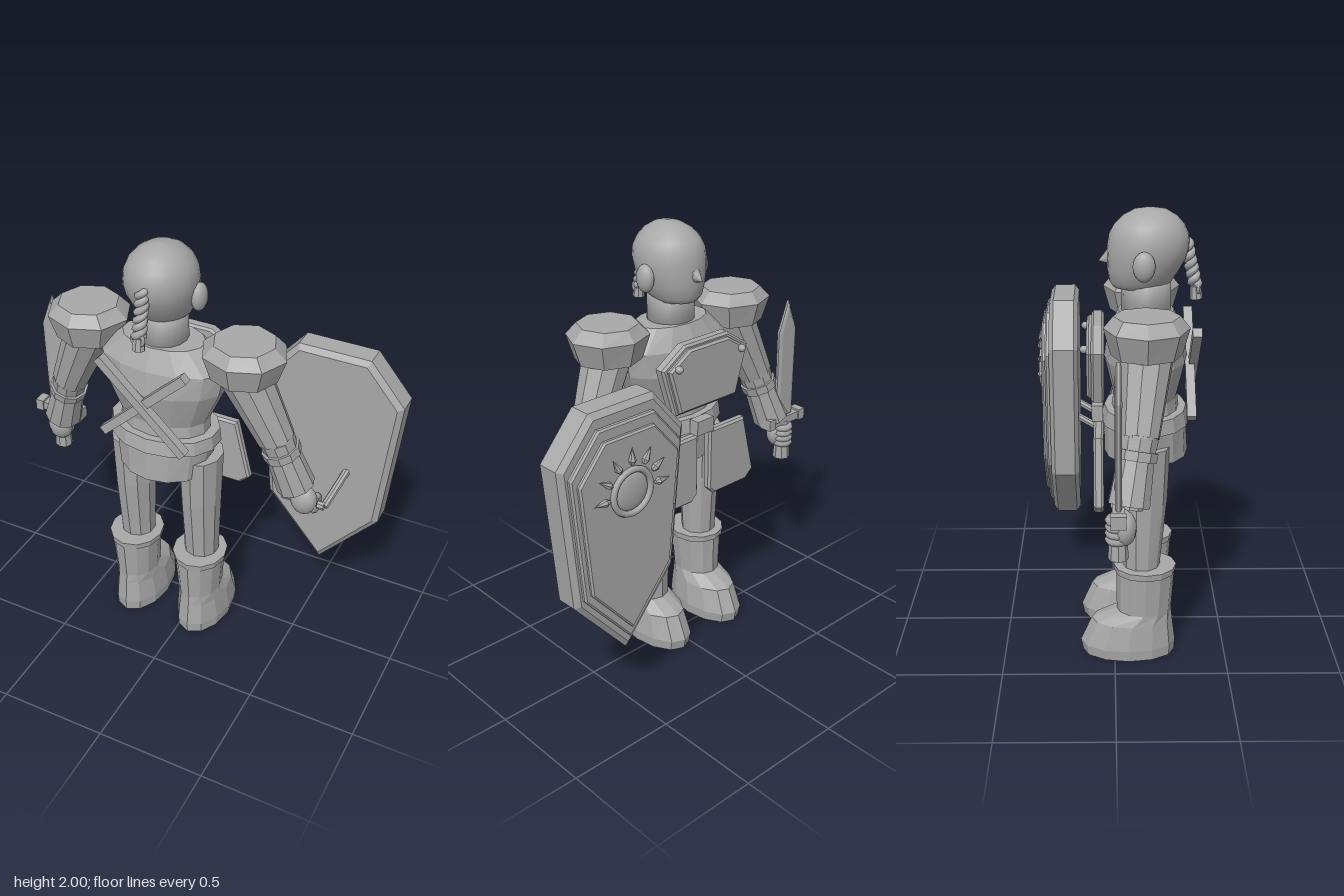
import * as THREE from 'three';
import { mergeVertices } from 'three/addons/utils/BufferGeometryUtils.js';

const CX = -0.11; // body centre line
const steel = new THREE.MeshStandardMaterial({ color: 0xa8a8a8 });
steel.name = 'grey';
const V = (x, y, z) => new THREE.Vector3(x, y, z);

export function createModel() {
  const model = new THREE.Group();
  model.name = 'knight';

  function add(name, geo, flat = true, parent = model) {
    if (flat) {
      geo = geo.index ? geo.toNonIndexed() : geo;
      geo.computeVertexNormals();
    }
    const m = new THREE.Mesh(geo, steel);
    m.name = name;
    parent.add(m);
    return m;
  }

  // Elliptical cross-sections from top to bottom: [y, cz, rx, rz]
  function loft(name, cx, rings, n, flat = true) {
    let geo = new THREE.CylinderGeometry(1, 1, 1, n, rings.length - 1);
    const p = geo.attributes.position;
    for (let i = 0; i < p.count; i++) {
      const [y, cz, rx, rz] = rings[Math.round((0.5 - p.getY(i)) * (rings.length - 1))];
      p.setXYZ(i, cx + p.getX(i) * rx, y, cz + p.getZ(i) * rz);
    }
    if (!flat) {
      geo.deleteAttribute('uv');
      geo.deleteAttribute('normal');
      geo = mergeVertices(geo);
      geo.computeVertexNormals();
    }
    return add(name, geo, flat);
  }

  // Tapered prism between two points
  function limb(name, a, b, ra, rb, n = 10, flat = true) {
    const d = b.clone().sub(a);
    const m = add(name, new THREE.CylinderGeometry(rb, ra, d.length(), n), flat);
    m.quaternion.setFromUnitVectors(V(0, 1, 0), d.normalize());
    m.position.copy(a).add(b).multiplyScalar(0.5);
    return m;
  }

  function ball(name, x, y, z, rx, ry, rz, n = 16) {
    const m = add(name, new THREE.SphereGeometry(1, n, Math.ceil(n * 0.7)), false);
    m.scale.set(rx, ry, rz);
    m.position.set(x, y, z);
    return m;
  }

  // Bevelled plate from an outline, filling z0 to z1
  function plate(name, pts, z0, z1, bevel = 0.01, inset = bevel) {
    const shape = new THREE.Shape(pts.map(([x, y]) => new THREE.Vector2(x, y)));
    const geo = new THREE.ExtrudeGeometry(shape, {
      depth: z1 - z0 - 2 * bevel, bevelEnabled: bevel > 0, bevelThickness: bevel,
      bevelSize: inset, bevelOffset: -inset, bevelSegments: 1,
    });
    geo.translate(0, 0, z0 + bevel);
    return add(name, geo);
  }
  // Mirrors a half outline (listed top to bottom) about x = cx
  const mirror = (half, cx, s = 1, cy = 0) => [
    ...half.map(([x, y]) => [cx - x * s, cy + (y - cy) * s]),
    ...half.slice().reverse().filter(([x]) => x > 0).map(([x, y]) => [cx + x * s, cy + (y - cy) * s]),
  ];

  // Head, looking towards -z
  loft('head', CX, [
    [2.0, 0.15, 0.012, 0.012], [1.99, 0.15, 0.06, 0.07], [1.965, 0.148, 0.1, 0.115],
    [1.93, 0.146, 0.132, 0.148], [1.89, 0.145, 0.15, 0.168], [1.84, 0.143, 0.156, 0.174],
    [1.79, 0.135, 0.15, 0.168], [1.74, 0.122, 0.136, 0.153], [1.69, 0.11, 0.115, 0.133],
    [1.665, 0.105, 0.09, 0.11], [1.655, 0.105, 0.01, 0.01],
  ], 24, false);
  loft('neck', CX, [[1.69, 0.135, 0.105, 0.105], [1.55, 0.135, 0.108, 0.108]], 16, false);
  for (const s of [-1, 1]) ball('ear', CX + s * 0.16, 1.78, 0.12, 0.033, 0.063, 0.047);
  const nose = limb('nose', V(CX, 1.79, -0.02), V(CX, 1.775, -0.065), 0.035, 0.003, 8, false);
  nose.scale.x = 0.8;

  // Braid: two twisted strands, a ring and a tuft
  const braidAt = t => V(CX, 1.865 - 0.2 * t, 0.3 + 0.045 * t);
  for (const phase of [0, Math.PI]) {
    const pts = [];
    for (let i = 0; i <= 40; i++) {
      const t = i / 40, a = t * Math.PI * 6 + phase;
      pts.push(braidAt(t).add(V(Math.cos(a) * 0.016, 0, Math.sin(a) * 0.016)));
    }
    add('braidStrand', new THREE.TubeGeometry(new THREE.CatmullRomCurve3(pts), 60, 0.017, 6), false);
  }
  const ring = add('braidRing', new THREE.TorusGeometry(0.026, 0.009, 6, 14), false);
  ring.position.set(CX, 1.66, 0.355);
  limb('braidTuft', V(CX, 1.665, 0.345), V(CX, 1.61, 0.35), 0.022, 0.028, 8);

  // Torso, waist and belt
  loft('torso', CX, [
    [1.565, 0.135, 0.19, 0.12], [1.47, 0.135, 0.305, 0.165], [1.36, 0.135, 0.285, 0.18],
    [1.19, 0.135, 0.21, 0.14], [1.1, 0.135, 0.21, 0.15],
  ], 14);
  loft('belt', CX, [[1.135, 0.135, 0.255, 0.18], [1.07, 0.135, 0.26, 0.195]], 14);
  loft('hips', CX, [[1.075, 0.135, 0.235, 0.18], [0.92, 0.14, 0.212, 0.185]], 14);
  const buckle = add('buckle', new THREE.BoxGeometry(0.1, 0.07, 0.05));
  buckle.position.set(CX, 1.105, -0.075);

  // Crossed straps on the back
  for (const s of [-1, 1]) {
    const strap = add('backStrap', new THREE.BoxGeometry(0.04, 0.55, 0.04));
    strap.position.set(CX, 1.325, 0.335 + s * 0.008);
    strap.rotation.z = s * 0.81;
  }

  // Chest plate with rivets
  const chest = [[0.13, 1.525], [0.26, 1.44], [0.19, 1.205]];
  plate('chestPlate', mirror(chest, CX), -0.1, -0.045);
  plate('chestPanel', mirror(chest, CX, 0.9, 1.36), -0.12, -0.09);

  for (const s of [-1, 1]) {
    const X = d => CX + s * d;
    ball('rivet', X(0.19), 1.44, -0.128, 0.018, 0.018, 0.02, 8);

    // Hip plate
    let tasset = [[0.035, 1.07], [0.26, 1.07], [0.33, 0.78], [0.28, 0.735], [0.07, 0.735], [0.035, 0.77]];
    plate('hipPlate', tasset.map(([x, y]) => [X(x), y]), -0.092, -0.048);

    // Leg and boot
    loft('leg', X(0.17), [[1.0, 0.125, 0.1, 0.115], [0.75, 0.125, 0.092, 0.105], [0.4, 0.118, 0.08, 0.08]], 10);
    loft('bootCuff', X(0.17), [[0.435, 0.135, 0.127, 0.14], [0.405, 0.135, 0.124, 0.137]], 12);
    loft('boot', X(0.17), [
      [0.41, 0.138, 0.115, 0.13], [0.215, 0.132, 0.1, 0.123], [0.165, 0.078, 0.112, 0.183],
      [0.05, 0.06, 0.124, 0.215], [0, 0.064, 0.12, 0.209],
    ], 12);

    // Arm, bracer and shoulder guard
    const elbow = V(X(0.515), 1.17, 0.095), wrist = V(X(0.605), 0.9, 0.05);
    limb('upperArm', V(X(0.35), 1.53, 0.135), elbow, 0.115, 0.083);
    ball('elbow', elbow.x, elbow.y, elbow.z, 0.08, 0.08, 0.08, 10);
    const fore = t => elbow.clone().lerp(wrist, t);
    limb('forearm', elbow, wrist, 0.08, 0.06);
    limb('bracer', fore(0.22), fore(0.95), 0.074, 0.088);
    limb('bracerBand', fore(0.18), fore(0.32), 0.088, 0.086);
    const guard = loft('shoulderGuard', X(0.37), [
      [1.63, 0.126, 0.135, 0.135], [1.58, 0.126, 0.188, 0.175], [1.47, 0.126, 0.15, 0.145],
    ], 8);
    guard.position.y = 0.001;

    // Hand
    ball('hand', X(0.635), 0.83, 0.035, 0.062, 0.075, 0.05, 12);
    for (let i = 0; i < 4; i++) {
      const f = add('finger', new THREE.TorusGeometry(0.034, 0.017, 6, 12), false);
      if (s < 0) {
        f.rotation.x = Math.PI / 2;
        f.position.set(X(0.64), 0.785 + i * 0.028, 0.005);
      } else {
        f.rotation.y = Math.PI / 2;
        f.position.set(X(0.595) + i * 0.028, 0.8, 0.0);
      }
    }
  }

  // Sword
  const SX = -0.752, SZ = 0.01;
  plate('swordBlade', mirror([[0, 1.525], [0.058, 1.37], [0.055, 0.92]], SX).slice(0, 5),
    SZ - 0.014, SZ + 0.014, 0.008, 0.018);
  const guardBar = add('swordGuard', new THREE.BoxGeometry(0.19, 0.04, 0.05));
  guardBar.position.set(SX, 0.908, SZ);
  for (const s of [-1, 1]) {
    const end = add('guardEnd', new THREE.BoxGeometry(0.04, 0.055, 0.062));
    end.position.set(SX + s * 0.104, 0.91, SZ);
  }
  limb('swordGrip', V(SX, 0.7, SZ), V(SX, 0.9, SZ), 0.042, 0.03, 8);

  // Shield: bevelled slab with stepped panels on its outer side
  const HX = 0.54;
  const outline = [[0.165, 1.48], [0.33, 1.285], [0.27, 0.635], [0, 0.32]];
  plate('shield', mirror(outline, HX), -0.305, -0.168, 0.02, 0.025);
  plate('shieldStep', mirror(outline, HX, 0.88, 0.93), -0.325, -0.295, 0.008);
  plate('shieldPanel', mirror(outline, HX, 0.79, 0.93), -0.343, -0.315, 0.008);

  // Sun emblem
  const SY = 1.11;
  const rim = add('sunRing', new THREE.TorusGeometry(0.098, 0.014, 8, 28), false);
  rim.position.set(HX, SY, -0.348);
  ball('sunDisc', HX, SY, -0.343, 0.085, 0.085, 0.018, 20);
  for (let i = 0; i < 7; i++) {
    const a = i * Math.PI / 6, c = Math.cos(a), q = Math.sin(a);
    const at = r => V(HX + c * r, SY + q * r, -0.352);
    limb('sunRay', at(0.14), at(0.197), 0.017, 0.001, 6);
    limb('sunRayBase', at(0.122), at(0.14), 0.008, 0.017, 6);
  }

  // Shield handle
  const g0 = V(0.41, 0.79, -0.005), g1 = V(0.61, 0.79, -0.005);
  limb('shieldGrip', g0, g1, 0.02, 0.02, 8);
  limb('gripArm', g0, V(0.43, 0.885, -0.18), 0.018, 0.018, 8);
  limb('gripArm', g1, V(0.645, 0.885, -0.18), 0.018, 0.018, 8);

  return model;
}
